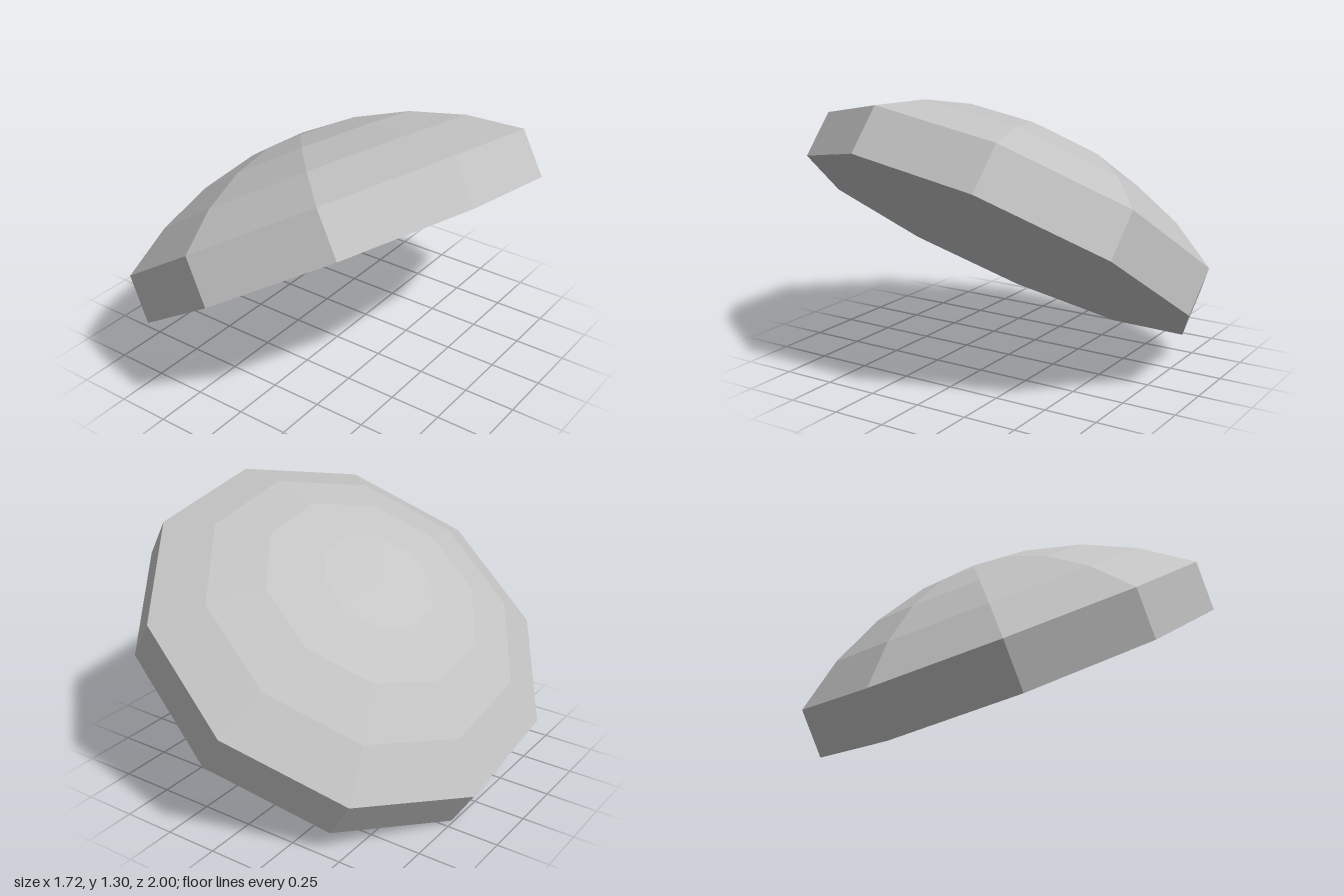
import * as THREE from 'three';

export function createModel() {
  const group = new THREE.Group();
  group.name = 'tiltedDome';

  const grey = new THREE.MeshStandardMaterial({ color: 0xc4c4c4, flatShading: true });
  grey.name = 'stone grey';

  const radius = 0.997, rim = 0.23, capAngle = 0.675, sides = 10, rings = 4;

  // Profile: flat base, upright rim, then a spherical cap in four steps
  const profile = [new THREE.Vector2(0, 0), new THREE.Vector2(radius, 0)];
  const sphere = radius / Math.sin(capAngle);
  for (let i = 0; i <= rings; i++) {
    const a = capAngle * (1 - i / rings);
    profile.push(new THREE.Vector2(
      sphere * Math.sin(a),
      rim + sphere * (Math.cos(a) - Math.cos(capAngle))
    ));
  }

  const dome = new THREE.Mesh(new THREE.LatheGeometry(profile, sides), grey);
  dome.name = 'dome';

  // Lean the axis to the right and back, with one corner pointing forward
  const up = new THREE.Vector3(-0.538, 0.831, -0.142).normalize();
  const side = new THREE.Vector3().crossVectors(up, new THREE.Vector3(0, 0.1675, 0.9825)).normalize();
  const front = new THREE.Vector3().crossVectors(side, up);
  dome.quaternion.setFromRotationMatrix(new THREE.Matrix4().makeBasis(side, up, front));
  dome.position.set(0.06, 0.5605, 0.0175);
  group.add(dome);

  return group;
}
